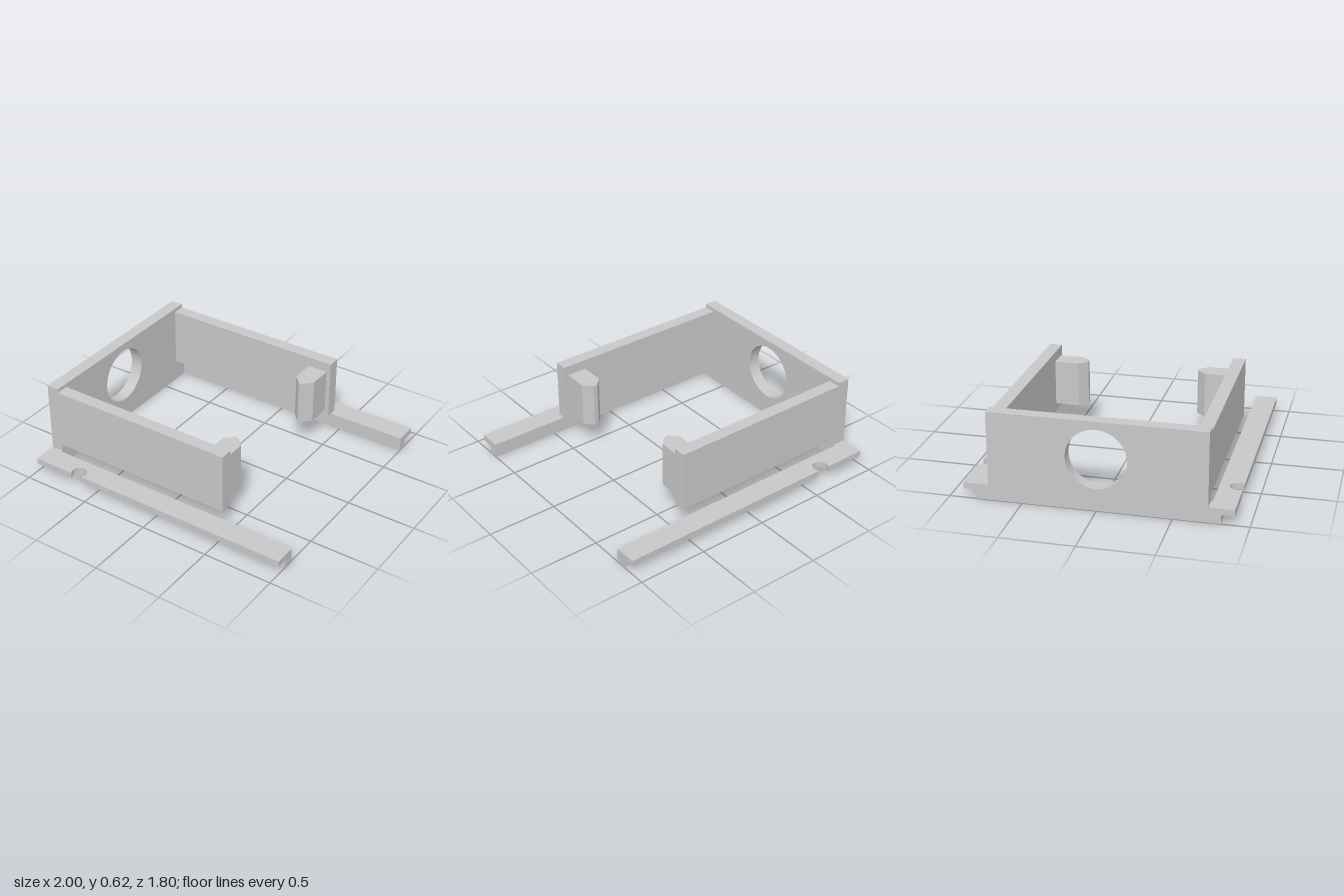
import * as THREE from 'three';

const grey = new THREE.MeshStandardMaterial({ color: 0xc8c8c8 });
grey.name = 'light grey';

function makeMesh(name, geometry) {
  const mesh = new THREE.Mesh(geometry, grey);
  mesh.name = name;
  return mesh;
}

// Box given by its minimum and maximum corners
function block(name, [x0, y0, z0], [x1, y1, z1]) {
  const geometry = new THREE.BoxGeometry(x1 - x0, y1 - y0, z1 - z0);
  geometry.translate((x0 + x1) / 2, (y0 + y1) / 2, (z0 + z1) / 2);
  return makeMesh(name, geometry);
}

// Upright prism from an (x, z) outline; side = -1 mirrors it to the back
function prism(name, outline, y0, y1, side) {
  const shape = new THREE.Shape(outline.map(([x, z]) => new THREE.Vector2(x, z * side)));
  const geometry = new THREE.ExtrudeGeometry(shape, { depth: y1 - y0, bevelEnabled: false });
  geometry.rotateX(Math.PI / 2).translate(0, y1, 0);
  return makeMesh(name, geometry);
}

// End plate with a wide foot and a round opening
function endPlate() {
  const half = [[0.743, 0], [0.743, 0.107], [0.73, 0.107], [0.73, 0.621]];
  const mirrored = half.map(([z, y]) => [-z, y]).reverse();
  const shape = new THREE.Shape([...half, ...mirrored].map(([z, y]) => new THREE.Vector2(z, y)));
  const hole = new THREE.Path();
  hole.absarc(0, 0.361, 0.205, 0, Math.PI * 2, true);
  shape.holes.push(hole);
  const geometry = new THREE.ExtrudeGeometry(shape, { depth: 0.09, bevelEnabled: false, curveSegments: 48 });
  geometry.rotateY(Math.PI / 2).translate(-1, 0, 0);
  return makeMesh('endPlate', geometry);
}

// Flange outline with a round notch open to its outer edge
function flangeOutline() {
  const edge = 0.902;
  const points = [[-1, 0.743], [1, 0.743], [1, edge]];
  const cx = -0.648, cz = 0.867, r = 0.055;
  const open = Math.asin((edge - cz) / r);
  const steps = 28;
  for (let i = 0; i <= steps; i++) {
    const a = open - (Math.PI + 2 * open) * (i / steps);
    points.push([cx + r * Math.cos(a), cz + r * Math.sin(a)]);
  }
  points.push([-1, edge]);
  return points;
}

export function createModel() {
  const model = new THREE.Group();
  model.name = 'railMountedBracket';
  model.add(endPlate());

  const peg = [[0.278, 0.64], [0.278, 0.467], [0.335, 0.406], [0.368, 0.406], [0.425, 0.467], [0.425, 0.64]];

  for (const side of [1, -1]) {
    const half = new THREE.Group();
    half.name = side > 0 ? 'frontSide' : 'backSide';
    const span = (a, b) => (side > 0 ? [a, b] : [-b, -a]);

    // Side wall hung from the end plate
    const [w0, w1] = span(0.64, 0.73);
    half.add(block('sideWall', [-0.91, 0.159, w0], [0.457, 0.594, w1]));

    // Inward pointed peg
    half.add(prism('peg', peg, 0.198, 0.523, side));

    // Stepped rail: narrow web below, notched flange above
    const [r0, r1] = span(0.743, 0.813);
    half.add(block('railWeb', [-1, 0, r0], [1, 0.063, r1]));
    half.add(prism('railFlange', flangeOutline(), 0.063, 0.107, side));

    model.add(half);
  }
  return model;
}
